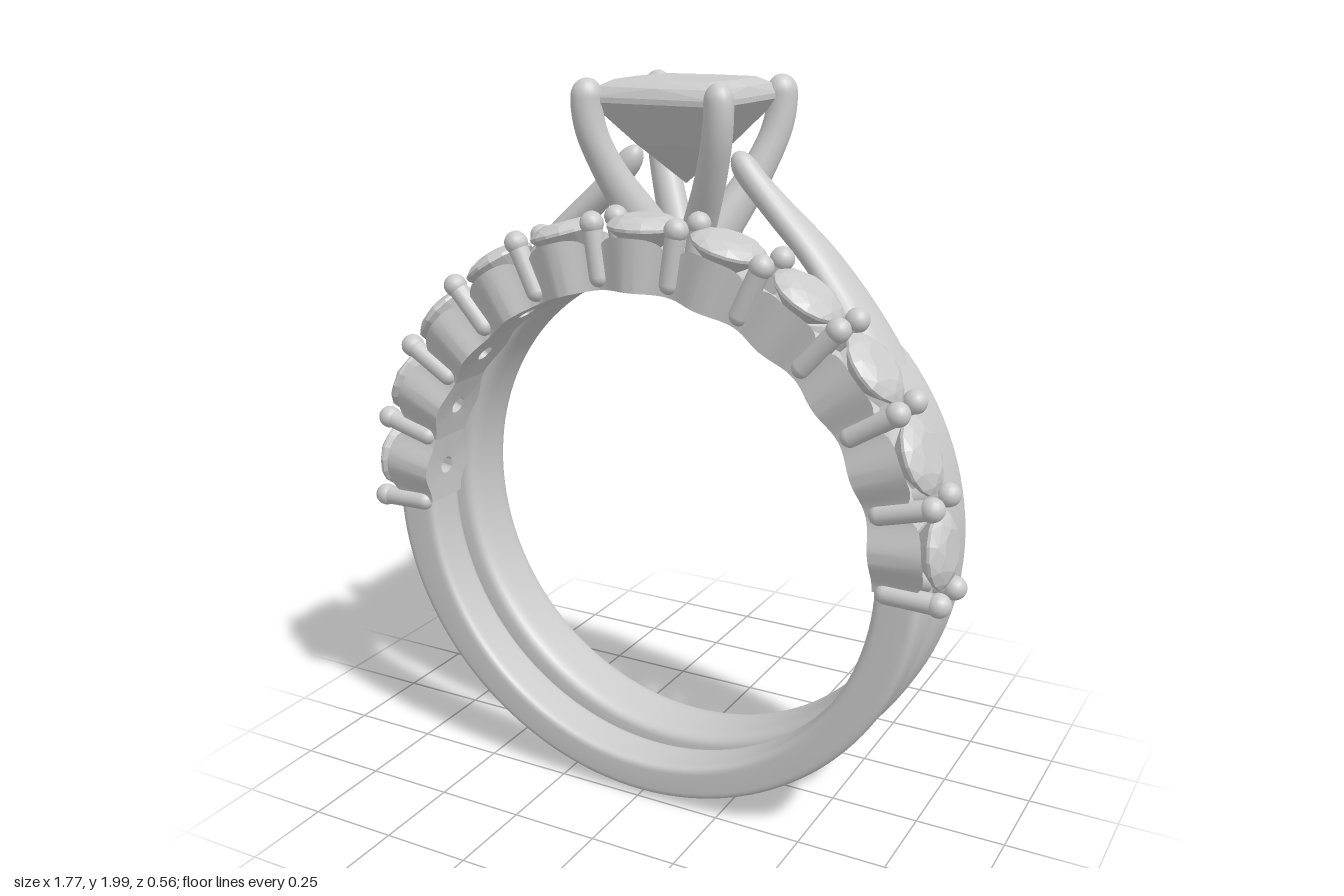
import * as THREE from 'three';
import { mergeVertices, toCreasedNormals } from 'three/addons/utils/BufferGeometryUtils.js';
import { ConvexGeometry } from 'three/addons/geometries/ConvexGeometry.js';

const CY = 0.8, R_IN = 0.68;      // shared ring centre height and inner radius
const Z_MAIN = -0.042, Z_SIDE = 0.183;
const rad = THREE.MathUtils.degToRad;
const smooth = THREE.MathUtils.smoothstep;
const lerp = THREE.MathUtils.lerp;

// Surface from a rule point(i, j) -> [x, y, z]
function grid(nu, nv, point) {
  const pos = [], idx = [];
  for (let i = 0; i <= nu; i++) for (let j = 0; j <= nv; j++) pos.push(...point(i, j));
  for (let i = 0; i < nu; i++) for (let j = 0; j < nv; j++) {
    const a = i * (nv + 1) + j, b = a + nv + 1;
    idx.push(a, b, b + 1, a, b + 1, a + 1);
  }
  let g = new THREE.BufferGeometry();
  g.setAttribute('position', new THREE.Float32BufferAttribute(pos, 3));
  g.setIndex(idx);
  g = mergeVertices(g, 1e-5);
  g.computeVertexNormals();
  return g;
}

const power = (v, e) => Math.sign(v) * Math.abs(v) ** e;

// Band swept around the ring centre; outer radius and half width vary with angle
function bandGeometry(from, to, outer, halfWidth, e, steps) {
  return grid(steps, 32, (i, j) => {
    const th = lerp(from, to, i / steps), f = j / 32 * Math.PI * 2;
    const ro = outer(th), mid = (ro + R_IN) / 2;
    const r = mid + (ro - mid) * power(Math.cos(f), e);
    return [r * Math.cos(th), r * Math.sin(th), halfWidth(th) * power(Math.sin(f), e)];
  });
}

// Tapered limb along a path in the xy plane, with a rounded far end
function limbGeometry(points, thick, wide, tip) {
  const curve = new THREE.CatmullRomCurve3(points.map(p => new THREE.Vector3(p[0], p[1], 0)));
  const n = 48;
  return grid(n, 20, (i, j) => {
    const t = 1 - (1 - i / n) ** 1.5, f = j / 20 * Math.PI * 2;
    const p = curve.getPointAt(t), d = curve.getTangentAt(t);
    const cap = t > 1 - tip ? Math.sqrt(Math.max(0, 1 - ((t - 1 + tip) / tip) ** 2)) : 1;
    const a = thick(t) * cap * Math.cos(f), b = wide(t) * cap * Math.sin(f);
    return [p.x + d.y * a, p.y - d.x * a, b];
  });
}

// One scalloped setting, bent to the band, with a drilled seat for the stone
function settingGeometry(A) {
  const n = 64;
  const g = grid(n, 4, (i, j) => {
    const s = i / n * Math.PI * 2, c = Math.cos(s), q = Math.sin(s);
    const m = Math.max(Math.abs(c), Math.abs(q)), u = c / m;
    const edge = [A * u, (0.068 + 0.03 * Math.cos(u * Math.PI / 2) ** 2) * q / m];
    const hole = [0.025 * c / R_IN, 0.025 * q];
    const rim = 0.82 - 0.05 * u ** 4;
    const [[a, z], r] = [[hole, R_IN], [hole, 0.755], [edge, rim], [edge, R_IN], [hole, R_IN]][j];
    return [r * Math.sin(a), r * Math.cos(a), z];
  });
  return toCreasedNormals(g, 0.7);
}

// Ring of points for the faceted stones
function circle(n, r, y, turn = 0) {
  return Array.from({ length: n }, (_, i) => {
    const a = (i + turn) / n * Math.PI * 2;
    return new THREE.Vector3(r * Math.cos(a), y, r * Math.sin(a));
  });
}

// Square outline with slightly bowed sides and clipped corners
function square(h, y, bow = 0, clip = 0.006) {
  const pts = [];
  for (let k = 0; k < 4; k++) {
    for (const [x, z] of [[h, -h + clip], [h + bow, 0], [h, h - clip]]) {
      pts.push(new THREE.Vector3(x, y, z).applyAxisAngle(new THREE.Vector3(0, 1, 0), k * Math.PI / 2));
    }
  }
  return pts;
}

export function createModel() {
  const model = new THREE.Group();
  const metal = new THREE.MeshStandardMaterial({ color: 0xcccccc, side: THREE.DoubleSide });
  const gem = new THREE.MeshStandardMaterial({ color: 0xcccccc, flatShading: true });
  const add = (parent, name, geometry, material = metal) => {
    const mesh = new THREE.Mesh(geometry, material);
    mesh.name = name;
    parent.add(mesh);
    return mesh;
  };
  const group = (parent, name, y = 0, z = 0) => {
    const g = new THREE.Group();
    g.name = name;
    g.position.set(0, y, z);
    parent.add(g);
    return g;
  };

  // Solitaire ring: full band that thins into a rail under the head
  const solitaire = group(model, 'solitaireRing', 0, Z_MAIN);
  add(solitaire, 'mainBand', bandGeometry(0, Math.PI * 2,
    th => 0.8 + 0.01 * Math.abs(Math.cos(th)) - 0.008 * Math.max(0, -Math.sin(th))
      - 0.06 * smooth(Math.sin(th), 0.62, 0.93),
    () => 0.097, 0.5, 128)).position.y = CY;

  // Cathedral shoulders rising from the band to the head
  const shoulder = limbGeometry(
    [[0.705, 1.056], [0.6, 1.27], [0.5, 1.42], [0.385, 1.56], [0.28, 1.66], [0.19, 1.75], [0.145, 1.81]],
    t => lerp(0.05, 0.034, t), t => lerp(0.095, 0.034, smooth(t, 0.35, 1)), 0.06);
  for (const turn of [0, Math.PI]) add(solitaire, 'shoulder', shoulder).rotation.y = turn;

  // Head: base plate, four corner prongs and the square stone
  const head = group(solitaire, 'head');
  add(head, 'basePlate', new THREE.BoxGeometry(0.22, 0.075, 0.25)).position.y = 1.54;
  const prong = limbGeometry(
    [[0.05, 1.53], [0.12, 1.625], [0.205, 1.75], [0.257, 1.86], [0.27, 1.94], [0.262, 2.0]],
    t => lerp(0.06, 0.042, smooth(t, 0, 0.7)), t => lerp(0.045, 0.037, t), 0.09);
  for (let k = 0; k < 4; k++) add(head, 'prong', prong).rotation.y = Math.PI / 4 + k * Math.PI / 2;
  add(head, 'squareStone', new ConvexGeometry([
    ...square(0.14, 1.995, 0.012), ...square(0.172, 1.978, 0.006),
    ...square(0.188, 1.952), ...square(0.188, 1.938),
    ...square(0.1, 1.828), new THREE.Vector3(0, 1.72, 0),
  ]), gem);

  // Stone-set ring: plain lower half
  const side = group(model, 'stoneSetRing', CY, Z_SIDE);
  const count = 11, step = rad(16.6), start = Math.PI / 2 - 5.5 * step;
  add(side, 'plainBand', bandGeometry(Math.PI - start, Math.PI * 2 + start,
    th => 0.78 + 0.025 * Math.abs(Math.cos(th)) ** 3, () => 0.068, 0.35, 72));

  // Scalloped settings with round stones
  const setting = settingGeometry(step / 2);
  const roundStone = new ConvexGeometry([
    ...circle(8, 0.056, 0.867), ...circle(8, 0.084, 0.857, 0.5),
    ...circle(16, 0.101, 0.842), ...circle(16, 0.101, 0.834),
    ...circle(8, 0.05, 0.79, 0.5), new THREE.Vector3(0, 0.758, 0),
  ]);
  for (let k = 0; k < count; k++) {
    const unit = group(side, 'setting');
    unit.rotation.z = (k - (count - 1) / 2) * step;
    add(unit, 'settingCup', setting);
    add(unit, 'roundStone', roundStone, gem);
  }

  // Paired claws with beaded tips between the stones
  const claw = new THREE.CapsuleGeometry(0.027, 0.125, 6, 16);
  const bead = new THREE.SphereGeometry(0.032, 16, 12);
  for (let k = 0; k <= count; k++) {
    const pair = group(side, 'clawPair');
    pair.rotation.z = (k - count / 2) * step;
    for (const z of [-0.062, 0.062]) {
      add(pair, 'claw', claw).position.set(0, 0.776, z);
      add(pair, 'clawBead', bead).position.set(0, 0.853, z);
    }
  }
  return model;
}
